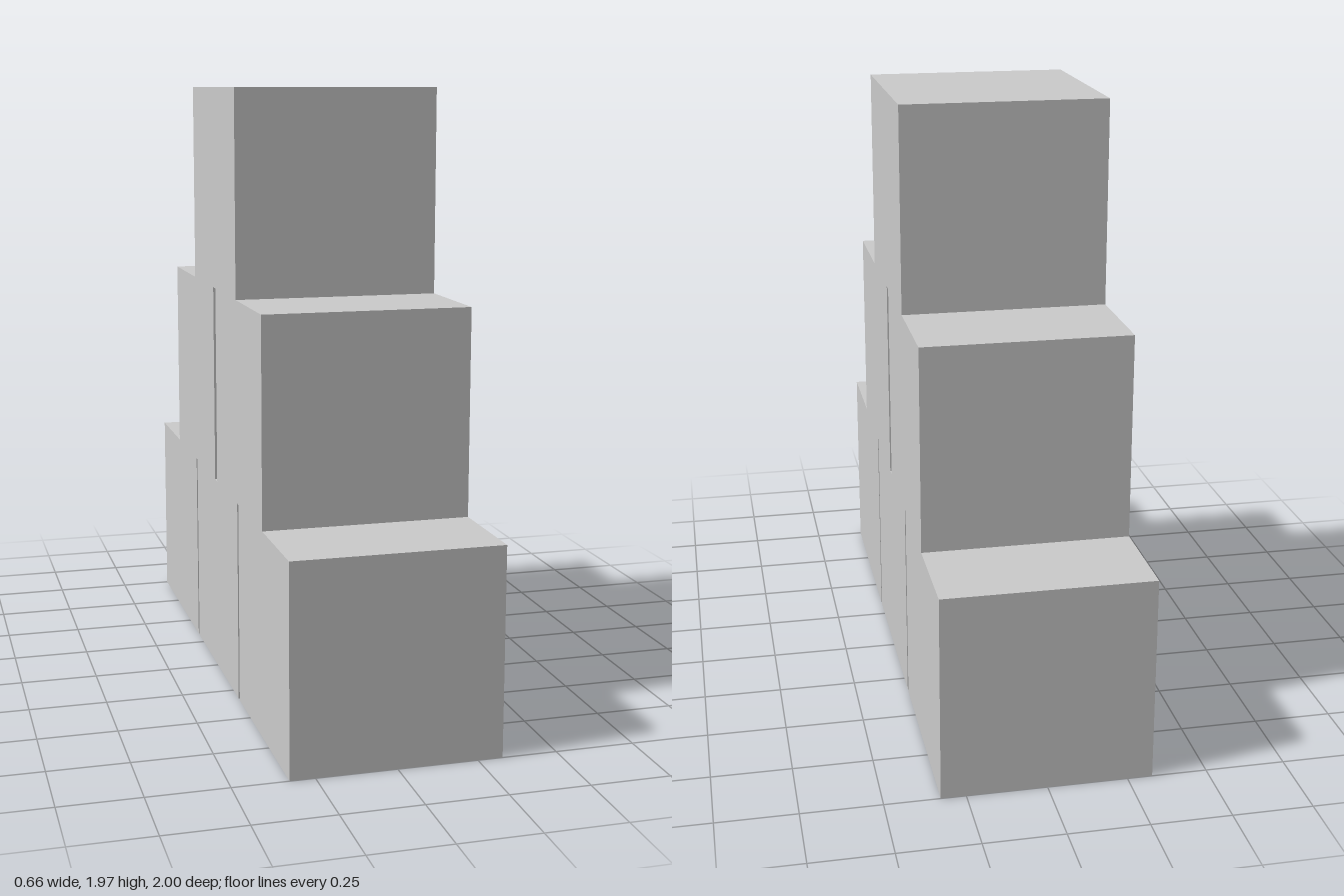
import * as THREE from 'three';

const CUBE = 0.656;          // edge of every cube
const HALF = CUBE / 2;
const BASE_STEP = 0.672;     // spacing of the three base cubes
const MID_OFFSET = 0.345;    // offset of the two middle cubes

// Three-two-one pyramid of cubes fused into a single solid
export function createModel() {
  const group = new THREE.Group();
  group.name = 'cubePyramid';

  // Right half of the outline, from the base slot up to the top
  const half = [
    [HALF, 0], [HALF, CUBE],                               // inner side of base slot
    [BASE_STEP - HALF, CUBE], [BASE_STEP - HALF, 0],       // outer side of base slot
    [BASE_STEP + HALF, 0], [BASE_STEP + HALF, CUBE],       // base cube
    [MID_OFFSET + HALF, CUBE], [MID_OFFSET + HALF, 2 * CUBE], // middle cube
    [HALF, 2 * CUBE], [HALF, 3 * CUBE],                    // top cube
  ];
  const mirrored = half.map(([x, y]) => [-x, y]).reverse();
  const toPoints = (list) => list.map(([x, y]) => new THREE.Vector2(x, y));
  const outline = new THREE.Shape(toPoints([...half, ...mirrored]));

  // Slot between the two middle cubes
  const gap = MID_OFFSET - HALF;
  outline.holes.push(new THREE.Path(toPoints([
    [-gap, CUBE], [-gap, 2 * CUBE], [gap, 2 * CUBE], [gap, CUBE],
  ])));

  // Extrude across the width and turn the outline to run front to back
  const geometry = new THREE.ExtrudeGeometry(outline, { depth: CUBE, bevelEnabled: false });
  geometry.translate(0, 0, -HALF).rotateY(-Math.PI / 2);

  const stack = new THREE.Mesh(
    geometry,
    new THREE.MeshStandardMaterial({ color: 0xcccccc, flatShading: true }),
  );
  stack.name = 'stackedCubes';
  group.add(stack);
  return group;
}
